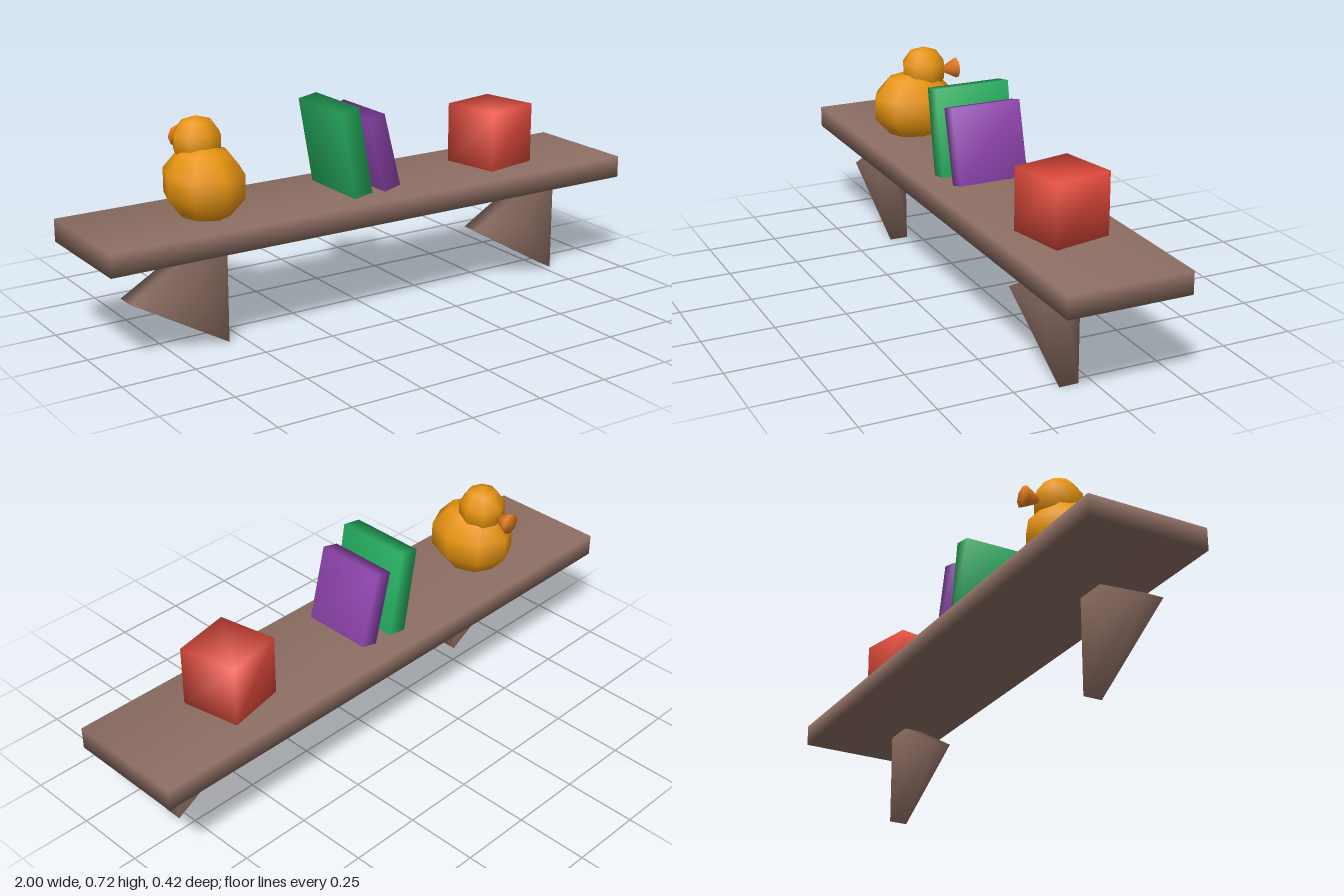
import * as THREE from 'three';
import { mergeVertices } from 'three/addons/utils/BufferGeometryUtils.js';

const material = (name, color) => {
  const m = new THREE.MeshStandardMaterial({ color });
  m.name = name;
  return m;
};

// Weld the corners so shading runs softly across every edge
function soften(geometry) {
  geometry.deleteAttribute('uv');
  geometry.deleteAttribute('normal');
  const welded = mergeVertices(geometry, 1e-4);
  welded.computeVertexNormals();
  return welded;
}

function part(name, geometry, mat, x, y, z) {
  const mesh = new THREE.Mesh(soften(geometry), mat);
  mesh.name = name;
  mesh.position.set(x, y, z);
  return mesh;
}

export function createModel() {
  const wood = material('brown wood', 0x8d6e63);
  const gold = material('golden yellow', 0xf39c12);
  const orange = material('orange', 0xe67e22);
  const green = material('green', 0x27ae60);
  const purple = material('purple', 0x8e44ad);
  const red = material('red', 0xe74c3c);
  const group = new THREE.Group();
  group.name = 'toyShelf';

  // Shelf board
  group.add(part('shelfBoard', new THREE.BoxGeometry(2, 0.076, 0.418), wood, 0, 0.371, 0));

  // Triangular brackets, one point facing sideways
  for (const [name, x] of [['rightBracket', -0.669], ['leftBracket', 0.665]]) {
    const prism = new THREE.CylinderGeometry(0.229, 0.229, 0.066, 3, 1, false, -Math.PI / 2);
    group.add(part(name, prism.rotateX(Math.PI / 2), wood, x, 0.199, 0.078));
  }

  // Leaning books
  const greenBook = part('greenBook', new THREE.BoxGeometry(0.07, 0.3, 0.266), green, -0.078, 0.562, 0);
  greenBook.rotation.z = 0.175;
  const purpleBook = part('purpleBook', new THREE.BoxGeometry(0.063, 0.26, 0.247), purple, 0.038, 0.545, 0);
  purpleBook.rotation.z = 0.25;

  // Toy block
  const block = part('toyBlock', new THREE.BoxGeometry(0.207, 0.21, 0.207), red, 0.572, 0.515, 0);
  block.rotation.y = 0.2;
  group.add(greenBook, purpleBook, block);

  // Toy duck, looking backwards
  const duck = new THREE.Group();
  duck.name = 'toyDuck';
  duck.position.x = -0.573;
  const body = new THREE.SphereGeometry(1, 8, 5).scale(0.135, 0.128, 0.16);
  const head = new THREE.SphereGeometry(0.084, 8, 5);
  const beak = new THREE.ConeGeometry(0.038, 0.075, 8).rotateX(Math.PI / 2);
  duck.add(
    part('duckBody', body, gold, 0, 0.511, 0),
    part('duckHead', head, gold, 0, 0.639, -0.04),
    part('duckBeak', beak, orange, 0, 0.629, -0.1325),
  );
  group.add(duck);
  return group;
}
